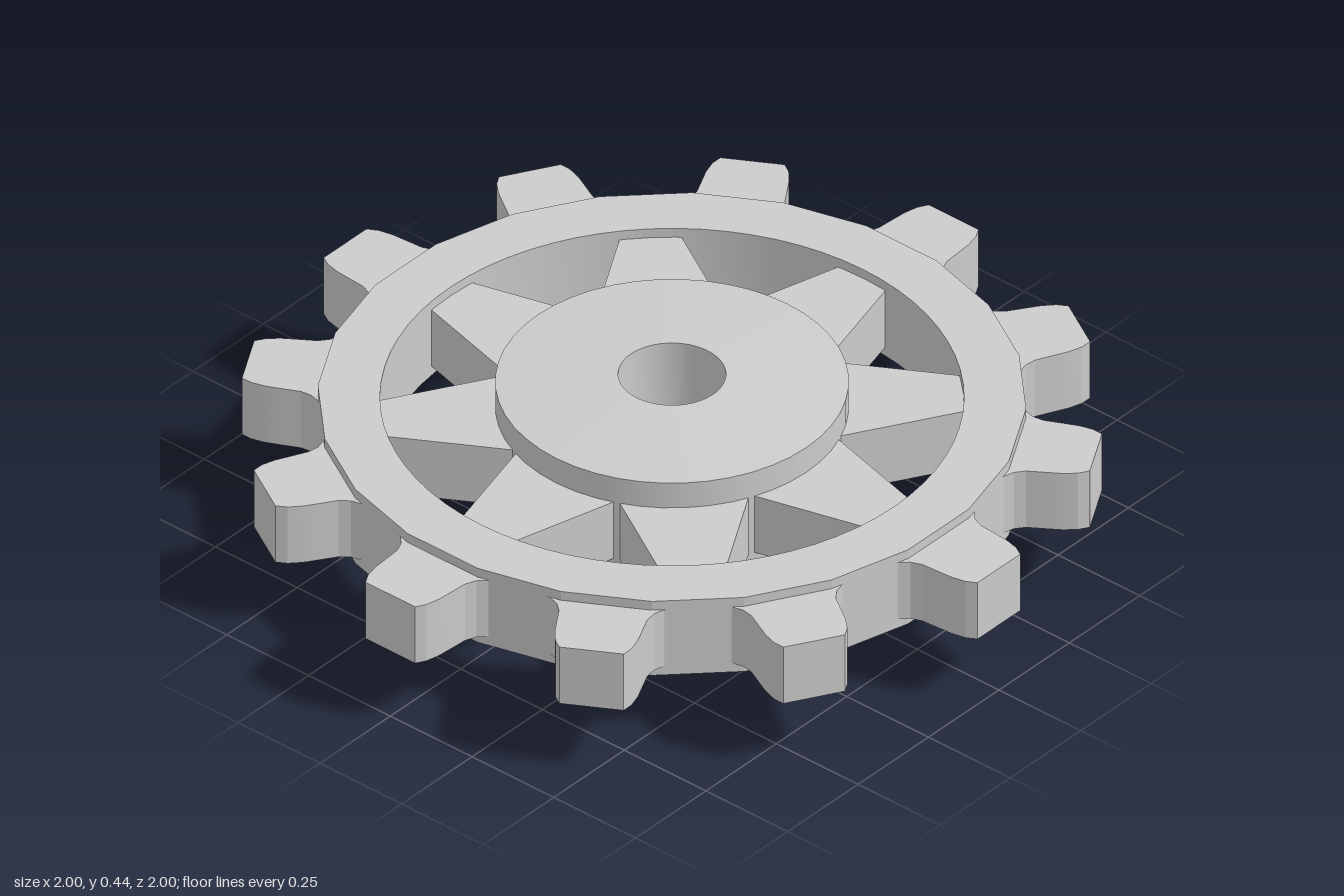
import * as THREE from 'three';
import { toCreasedNormals } from 'three/addons/utils/BufferGeometryUtils.js';

const material = new THREE.MeshStandardMaterial({ color: 0xcccccc });
const BORE = 0.125, HUB = 0.41, RIM_IN = 0.677, RIM_OUT = 0.822;

const polar = (r, a) => new THREE.Vector2(r * Math.cos(a), r * Math.sin(a));

function mesh(name, geometry, crease) {
  const m = new THREE.Mesh(toCreasedNormals(geometry, crease), material);
  m.name = name;
  return m;
}

// Flat outline raised between two heights, with an optional round hole
function slab(name, points, y0, y1, hole) {
  const shape = new THREE.Shape(points);
  if (hole) shape.holes.push(new THREE.Path().absarc(0, 0, hole, 0, Math.PI * 2, true));
  const g = new THREE.ExtrudeGeometry(shape, { depth: y1 - y0, bevelEnabled: false, curveSegments: 36 });
  g.rotateX(-Math.PI / 2).translate(0, y0, 0);
  return mesh(name, g, 0.2);
}

export function createModel() {
  const model = new THREE.Group();
  model.name = 'sprocketWheel';

  // Hub: dished underside, slightly domed top, bored through
  const profile = [[BORE, 0], [0.285, 0.02], [HUB, 0.11], [HUB, 0.415], [BORE, 0.435], [BORE, 0]]
    .map(([r, y]) => new THREE.Vector2(r, y));
  model.add(mesh('hub', new THREE.LatheGeometry(profile, 48), 0.4));

  // Rim: 24-sided outside, round inside
  const rim = [];
  for (let i = 0; i < 24; i++) rim.push(polar(RIM_OUT, (i + 0.5) * Math.PI / 12));
  model.add(slab('rim', rim, 0.16, 0.37, RIM_IN));

  // Toothed ring: half a tooth as (radius, half width), mirrored and repeated
  const half = [[0.797, 0.165], [0.808, 0.135], [0.828, 0.115], [0.855, 0.104],
    [0.9, 0.101], [0.94, 0.098], [0.975, 0.09], [1, 0.076]];
  const tooth = [...half.map(([r, w]) => [r, -w]), ...half.slice().reverse()];
  const ring = [];
  for (let i = 0; i < 12; i++) {
    const a = i * Math.PI / 6;
    for (const [x, y] of tooth) ring.push(new THREE.Vector2(x, y).rotateAround(new THREE.Vector2(), a));
  }
  model.add(slab('toothedRing', ring, 0.185, 0.345, 0.72));

  // Tapered spokes
  const spoke = [[0.36, -0.155], [0.69, -0.068], [0.69, 0.068], [0.36, 0.155]]
    .map(([x, y]) => new THREE.Vector2(x, y));
  for (let i = 0; i < 8; i++) {
    const s = slab('spoke', spoke, 0.185, 0.345);
    s.rotation.y = i * Math.PI / 4;
    model.add(s);
  }
  return model;
}
